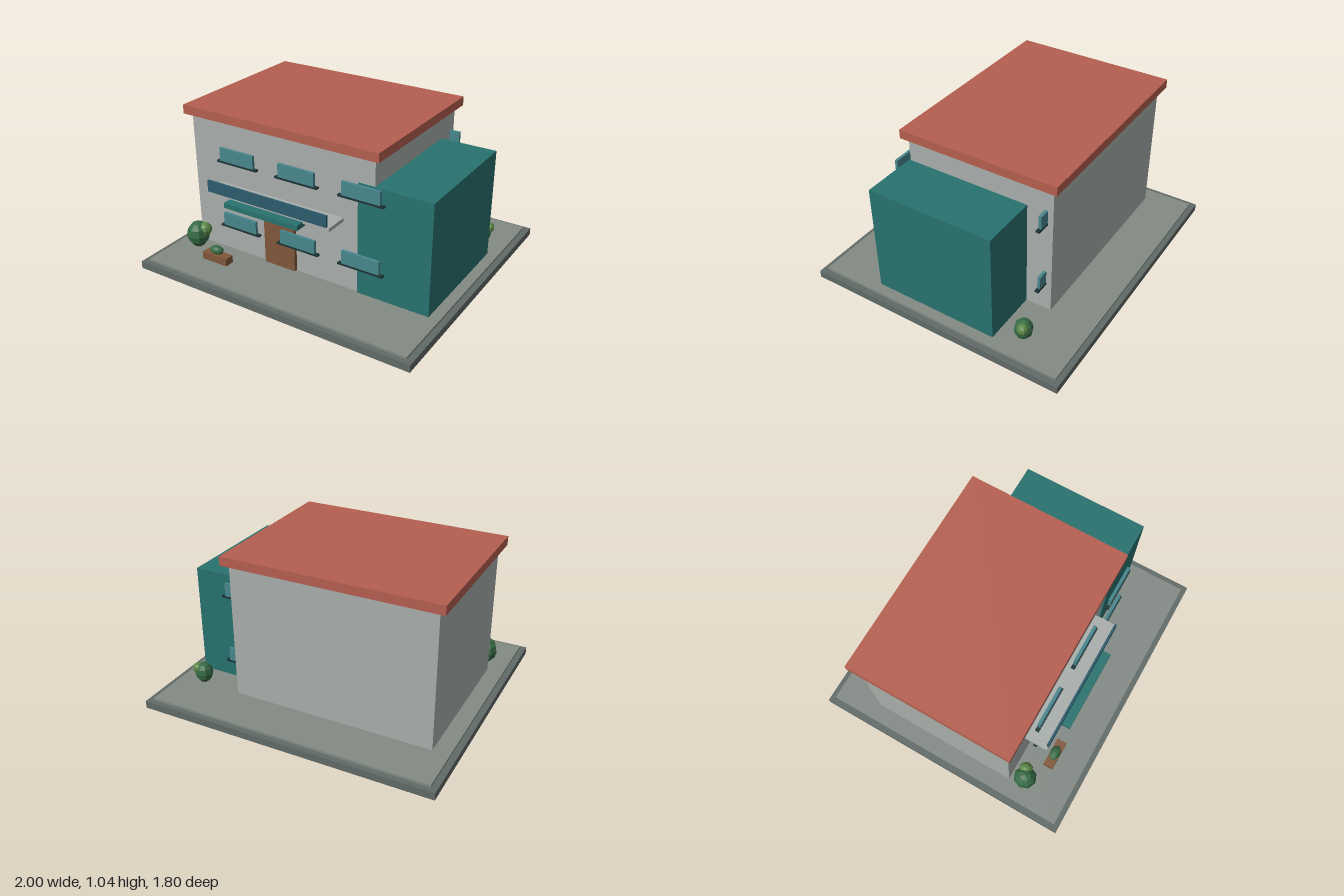
import * as THREE from 'three';

const mat = (color, flatShading = false) => new THREE.MeshStandardMaterial({ color, flatShading });
const M = {
  wall: mat(0xa9afac), roof: mat(0xb55f50), teal: mat(0x28726f), glass: mat(0x47868c),
  sill: mat(0x1c3436), rail: mat(0x2c5c6c), wood: mat(0x80573a), base: mat(0x616b67),
  paving: mat(0x838a84), leaf: mat(0x376b45, true), leafLight: mat(0x5d8a48, true),
};

export function createModel() {
  const model = new THREE.Group();
  model.name = 'house';

  const add = (parent, name, geometry, material, x, y, z) => {
    const mesh = new THREE.Mesh(geometry, material);
    mesh.name = name;
    mesh.position.set(x, y, z);
    parent.add(mesh);
    return mesh;
  };
  // Box given by its limits on each axis
  const box = (parent, name, material, [x0, x1], [y0, y1], [z0, z1]) =>
    add(parent, name, new THREE.BoxGeometry(x1 - x0, y1 - y0, z1 - z0), material,
      (x0 + x1) / 2, (y0 + y1) / 2, (z0 + z1) / 2);

  // Plot
  box(model, 'groundBase', M.base, [-1, 1], [0, 0.05], [-0.9, 0.9]);
  box(model, 'paving', M.paving, [-0.96, 0.96], [0.05, 0.065], [-0.865, 0.865]);

  // Main volumes
  box(model, 'mainWalls', M.wall, [-0.85, 0.51], [0.06, 0.98], [-0.565, 0.46]);
  box(model, 'roof', M.roof, [-0.895, 0.55], [0.98, 1.04], [-0.605, 0.495]);
  box(model, 'sideWing', M.teal, [0.4, 0.89], [0.06, 0.81], [-0.39, 0.47]);

  // Entrance and balcony
  box(model, 'door', M.wood, [-0.29, -0.057], [0.07, 0.5], [0.45, 0.485]);
  box(model, 'canopy', M.teal, [-0.45, 0.105], [0.5, 0.535], [0.45, 0.672]);
  box(model, 'balconySlab', M.wall, [-0.645, 0.295], [0.524, 0.548], [0.45, 0.614]);
  box(model, 'balconyRail', M.rail, [-0.625, 0.275], [0.546, 0.625], [0.603, 0.617]);

  // Windows with sills: three columns in front, one at the rear corner
  const addWindow = (x, y, z) => {
    const win = new THREE.Group();
    win.name = 'window';
    win.position.set(x, y, z);
    box(win, 'glass', M.glass, [-0.13, 0.13], [0, 0.092], [-0.01, 0.01]);
    box(win, 'windowSill', M.sill, [-0.155, 0.155], [-0.008, 0.004], [-0.013, 0.013]);
    model.add(win);
  };
  for (const y of [0.273, 0.732]) {
    for (const x of [-0.455, -0.004, 0.45]) addWindow(x, y, 0.518);
    addWindow(0.45, y, -0.518);
  }

  // Faceted bushes: trunk, large crown and lighter side crown
  const blob = (r) => new THREE.SphereGeometry(r, 8, 6);
  const addBush = (x, z, s) => {
    const bush = new THREE.Group();
    bush.name = 'bush';
    bush.position.set(x, 0.062, z);
    bush.scale.setScalar(s);
    add(bush, 'trunk', new THREE.CylinderGeometry(0.018, 0.022, 0.06, 6), M.wood, 0, 0.03, 0);
    add(bush, 'crown', blob(0.077), M.leaf, 0, 0.096, 0).scale.y = 1.17;
    add(bush, 'sideCrown', blob(0.047), M.leafLight, 0.045, 0.135, -0.02);
    model.add(bush);
  };
  addBush(-0.8, 0.555, 1);
  addBush(0.787, -0.543, 0.78);

  // Planter
  box(model, 'planterBox', M.wood, [-0.655, -0.46], [0.075, 0.125], [0.615, 0.682]);
  add(model, 'planterShrub', blob(0.053), M.leaf, -0.56, 0.152, 0.649).scale.set(1, 0.55, 0.65);

  return model;
}
